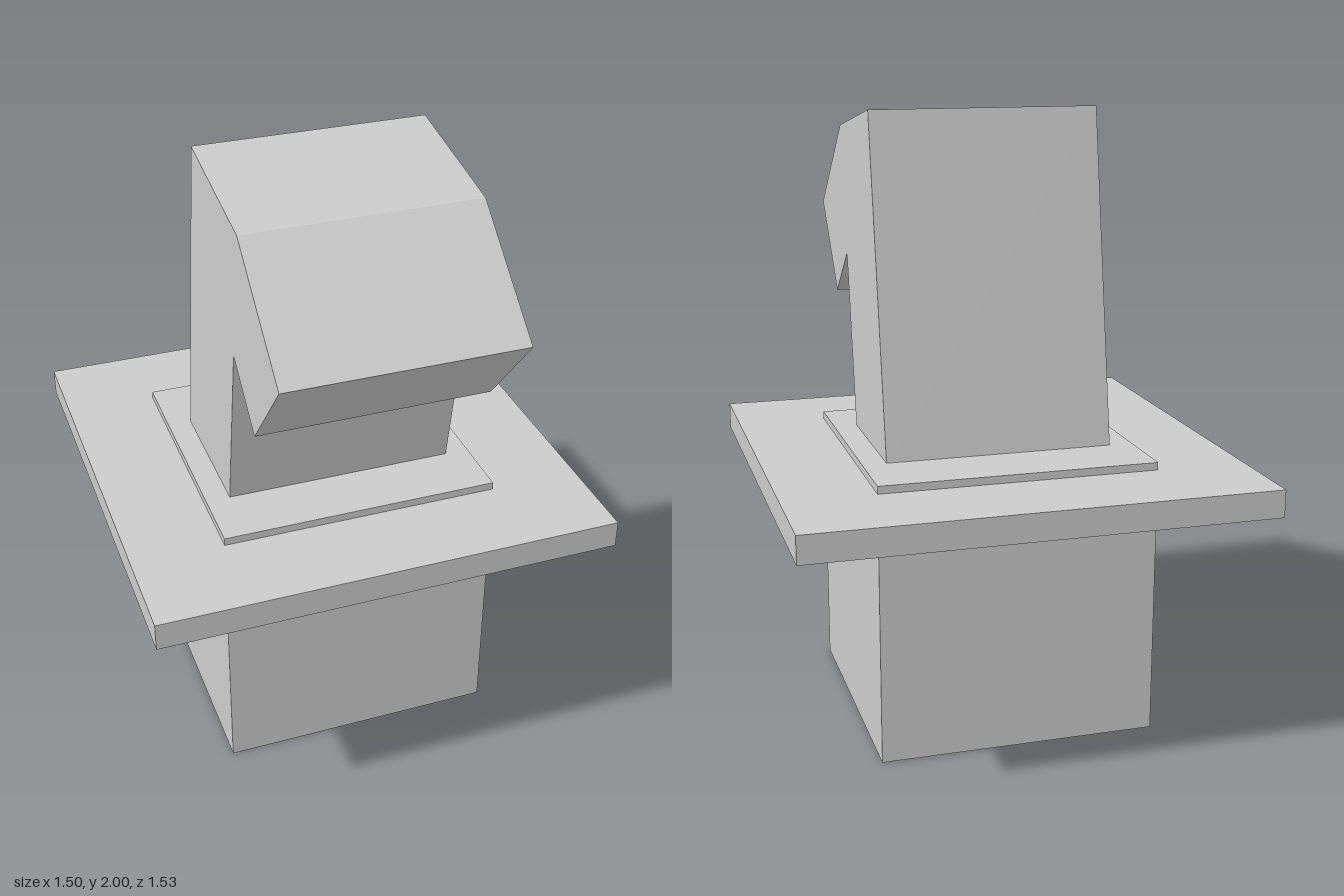
import * as THREE from 'three';

export function createModel() {
  const group = new THREE.Group();
  const material = new THREE.MeshStandardMaterial({ color: 0xcccccc, flatShading: true });

  function add(name, geometry) {
    const mesh = new THREE.Mesh(geometry, material);
    mesh.name = name;
    group.add(mesh);
    return mesh;
  }

  // Square block, slightly behind the centre, standing on y = bottom
  function block(name, width, bottom, top) {
    add(name, new THREE.BoxGeometry(width, top - bottom, width))
      .position.set(0, (bottom + top) / 2, -0.015);
  }

  // Pedestal rises a little through the wide flange
  block('pedestal', 0.906, 0, 0.915);
  block('flange', 1.5, 0.8, 0.89);

  // Leaning neck with a forward, downward bent head: side profile as (z, y)
  const profile = new THREE.Shape([
    [0.232, 0.91], [0.335, 1.495], [0.53, 1.333], [0.77, 1.62],
    [0.408, 1.92], [-0.053, 2], [-0.243, 0.91],
  ].map(([z, y]) => new THREE.Vector2(z, y)));
  const width = 0.75;
  const neck = new THREE.ExtrudeGeometry(profile, { depth: width, bevelEnabled: false });
  neck.rotateY(-Math.PI / 2).translate(width / 2, 0, 0);
  add('neckAndHead', neck);

  return group;
}
